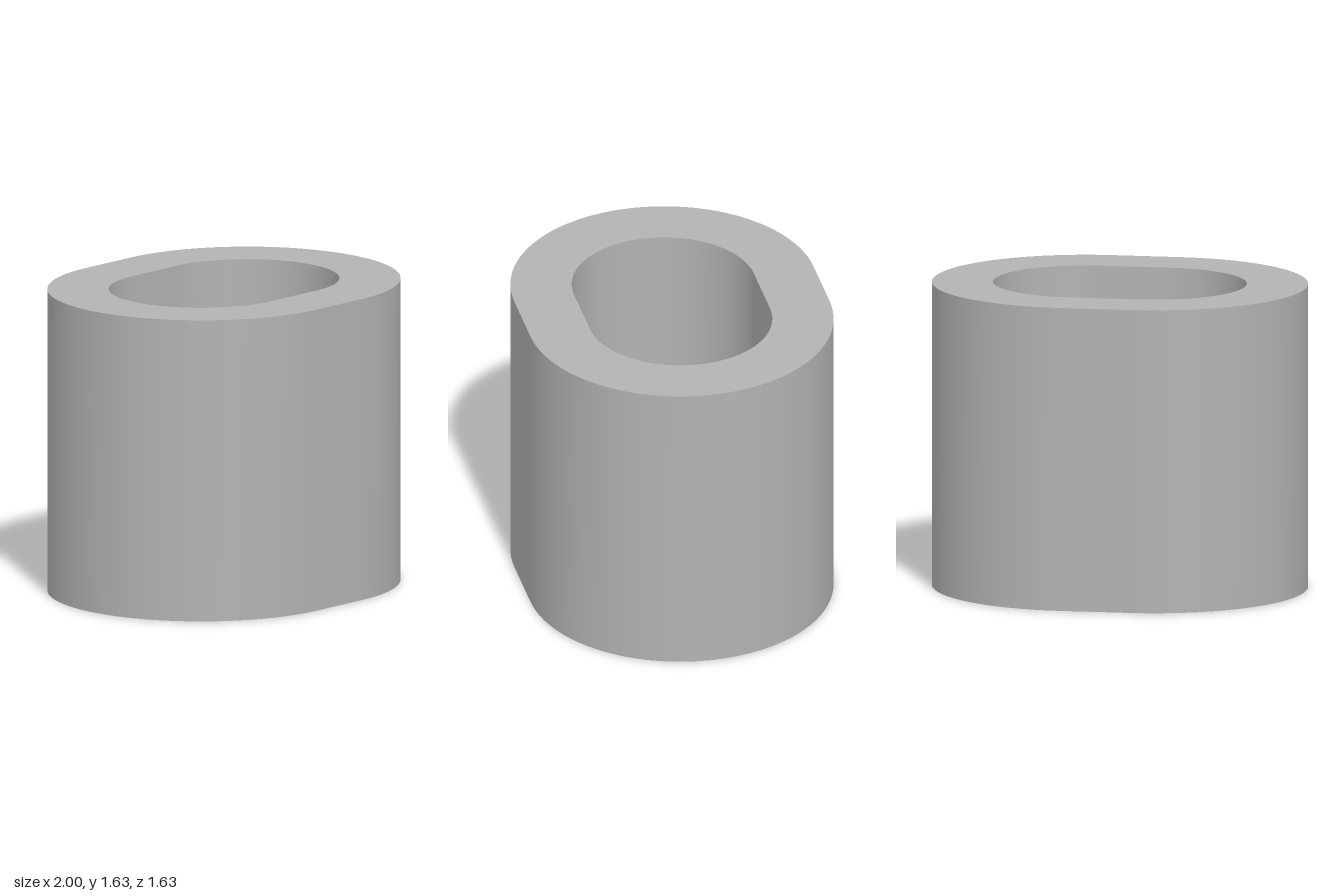
import * as THREE from 'three';

const HEIGHT = 1.63, FLOOR = 0.325, OFFSET = 0.186;
const OUTER = 0.814, INNER = 0.489, BORE = 0.188;

// Counter-clockwise outline: two half circles pushed apart by +-offset
function outline(radius, offset, steps = 48) {
  const points = [];
  for (const side of [1, -1]) {
    for (let i = 0; i <= steps; i++) {
      if (offset === 0 && i === steps) continue; // halves share this point
      const a = -Math.PI / 2 + (Math.PI * i) / steps;
      points.push(new THREE.Vector2(
        side * (offset + radius * Math.cos(a)), side * radius * Math.sin(a)));
    }
  }
  return points;
}

// Smooth closed upright wall along an outline, facing outward or inward
function wall(points, y0, y1, inward) {
  const n = points.length, position = [], index = [];
  points.forEach((p) => position.push(p.x, y0, -p.y, p.x, y1, -p.y));
  for (let i = 0; i < n; i++) {
    const a = 2 * i, b = 2 * ((i + 1) % n);
    if (inward) index.push(a, b + 1, b, a, a + 1, b + 1);
    else index.push(a, b, b + 1, a, b + 1, a + 1);
  }
  const g = new THREE.BufferGeometry();
  g.setAttribute('position', new THREE.Float32BufferAttribute(position, 3));
  g.setIndex(index);
  g.computeVertexNormals();
  return g;
}

// Flat face with a hole, at height y, facing up or down
function cap(points, hole, y, up) {
  const shape = new THREE.Shape(points);
  shape.holes.push(new THREE.Path(hole));
  return new THREE.ShapeGeometry(shape)
    .rotateX(up ? -Math.PI / 2 : Math.PI / 2)
    .translate(0, y, 0);
}

export function createModel() {
  const group = new THREE.Group();
  group.name = 'ovalSleeve';
  const grey = new THREE.MeshStandardMaterial({ color: 0xb3b3b3 });
  grey.name = 'plain grey';

  const outer = outline(OUTER, OFFSET);
  const inner = outline(INNER, OFFSET);
  const bore = outline(BORE, 0, 32);

  const parts = {
    outerWall: wall(outer, 0, HEIGHT, false),
    pocketWall: wall(inner, FLOOR, HEIGHT, true),
    boreWall: wall(bore, 0, FLOOR, true),
    rim: cap(outer, inner, HEIGHT, true),
    pocketFloor: cap(inner, bore, FLOOR, true),
    underside: cap(outer, bore, 0, false),
  };
  for (const [name, geometry] of Object.entries(parts)) {
    const mesh = new THREE.Mesh(geometry, grey);
    mesh.name = name;
    group.add(mesh);
  }
  return group;
}
